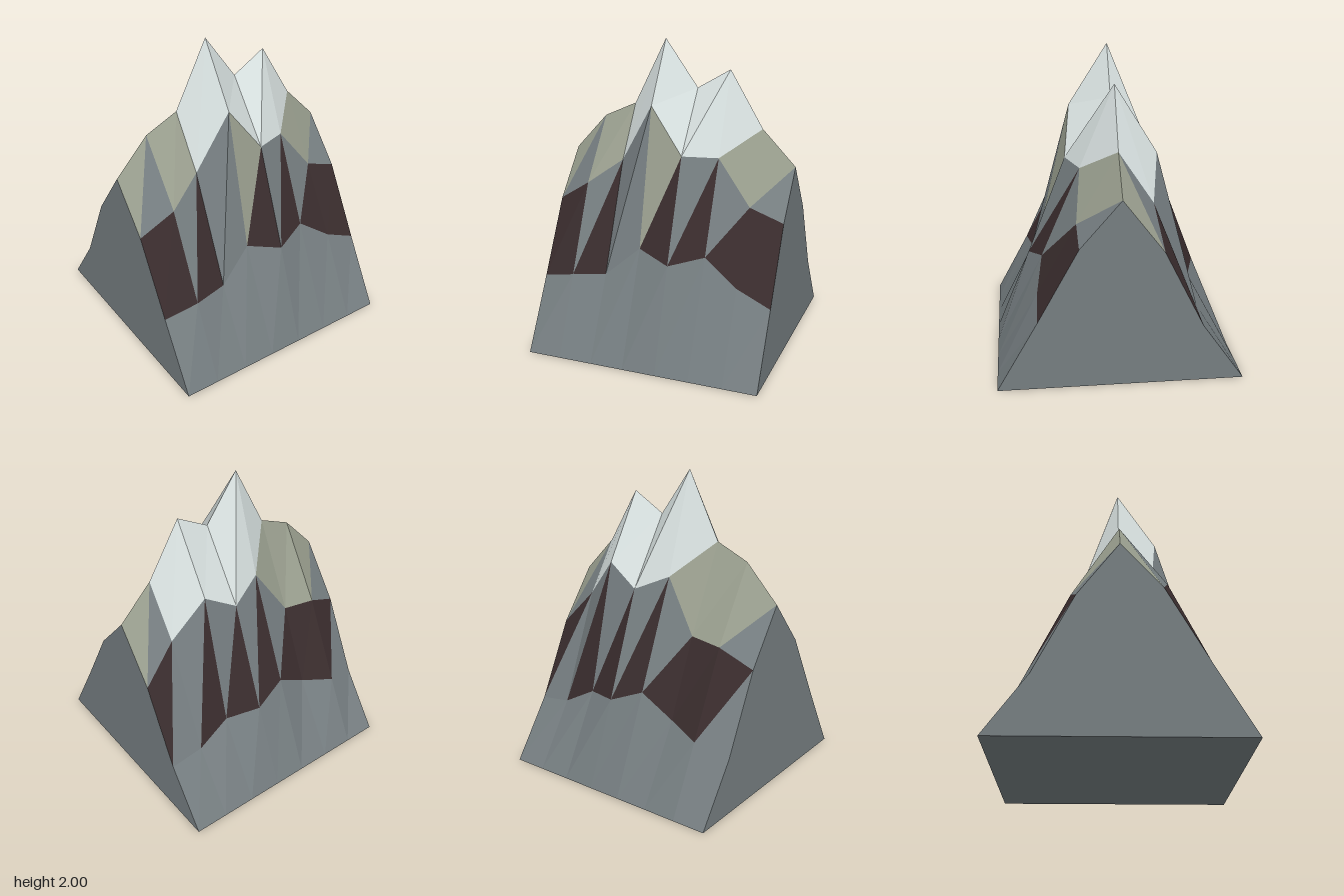
import * as THREE from 'three';

const HALF = 0.777;
const COLS = 8;

// Ridge heights from -x to +x
const ridge = [1.22, 1.46, 1.56, 2.0, 1.69, 1.82, 1.45, 1.22];

// Each slope is read left to right as seen from outside.
// upper / lower: [height, distance from ridge] at each column.
// Band codes: two letters per cell, upper-left then lower-right triangle.
const slopes = {
  front: {
    turn: 1,
    ridge,
    upper: [[0.92, 0.26], [1.06, 0.3], [1.22, 0.22], [1.6, 0.255], [1.3, 0.3], [1.29, 0.22], [1.0, 0.26], [0.92, 0.26]],
    lower: [[0.45, 0.52], [0.5, 0.555], [0.52, 0.52], [0.71, 0.47], [0.65, 0.55], [0.71, 0.47], [0.55, 0.51], [0.45, 0.52]],
    bands: ['OG OO WW WW WW WO OG', 'DD GD GG OD GD GD DD', 'GG GG GG GG GG GG GG'],
  },
  back: {
    turn: -1,
    ridge: [...ridge].reverse(),
    upper: [[0.88, 0.26], [1.12, 0.22], [1.38, 0.27], [1.24, 0.3], [1.34, 0.22], [1.0, 0.275], [0.98, 0.3], [0.87, 0.26]],
    lower: [[0.38, 0.51], [0.41, 0.51], [0.53, 0.49], [0.55, 0.56], [0.64, 0.51], [0.5, 0.49], [0.44, 0.56], [0.37, 0.51]],
    bands: ['OG WW WW WW WO OO OG', 'DG GD GD GD GD DD DG', 'GG GG GG GG GG GG GG'],
  },
};

function material(name, color) {
  const m = new THREE.MeshStandardMaterial({ color, flatShading: true });
  m.name = name;
  return m;
}

export function createModel() {
  const group = new THREE.Group();
  group.name = 'mountain';

  const kinds = {
    G: { part: 'rock', mat: material('grey rock', 0x757d80) },
    O: { part: 'paleSlope', mat: material('olive stone', 0x989d8d) },
    W: { part: 'snowCap', mat: material('snow', 0xd6dfde) },
    D: { part: 'darkCliff', mat: material('dark brown rock', 0x392c2d) },
  };

  for (const [sideName, side] of Object.entries(slopes)) {
    const tris = { G: [], O: [], W: [], D: [] };
    const add = (kind, ...points) => points.forEach(([x, y, z]) =>
      tris[kind].push(x * side.turn, y, z * side.turn));

    // Rows of points from the ridge down to the base edge
    const xAt = (i) => -HALF + (2 * HALF * i) / (COLS - 1);
    const rows = [
      side.ridge.map((y, i) => [xAt(i), y, 0]),
      side.upper.map(([y, z], i) => [xAt(i), y, z]),
      side.lower.map(([y, z], i) => [xAt(i), y, z]),
      side.ridge.map((_, i) => [xAt(i), 0, HALF]),
    ];

    // Slope facets
    side.bands.forEach((band, r) => {
      band.split(' ').forEach((cell, i) => {
        const a = rows[r][i], b = rows[r][i + 1];
        const c = rows[r + 1][i], d = rows[r + 1][i + 1];
        add(cell[0], a, c, b);
        add(cell[1], c, d, b);
      });
    });

    // Flat cut ends
    const left = [-HALF, 0, 0], right = [HALF, 0, 0];
    for (let r = 0; r < 3; r++) {
      add('G', right, rows[r][COLS - 1], rows[r + 1][COLS - 1]);
      add('G', left, rows[r + 1][0], rows[r][0]);
    }

    // Underside
    add('G', left, right, rows[3][COLS - 1]);
    add('G', left, rows[3][COLS - 1], rows[3][0]);

    // One mesh per kind of ground on this side
    for (const [key, { part, mat }] of Object.entries(kinds)) {
      const geo = new THREE.BufferGeometry();
      geo.setAttribute('position', new THREE.Float32BufferAttribute(tris[key], 3));
      geo.computeVertexNormals();
      const mesh = new THREE.Mesh(geo, mat);
      mesh.name = `${sideName} ${part}`;
      group.add(mesh);
    }
  }
  return group;
}
